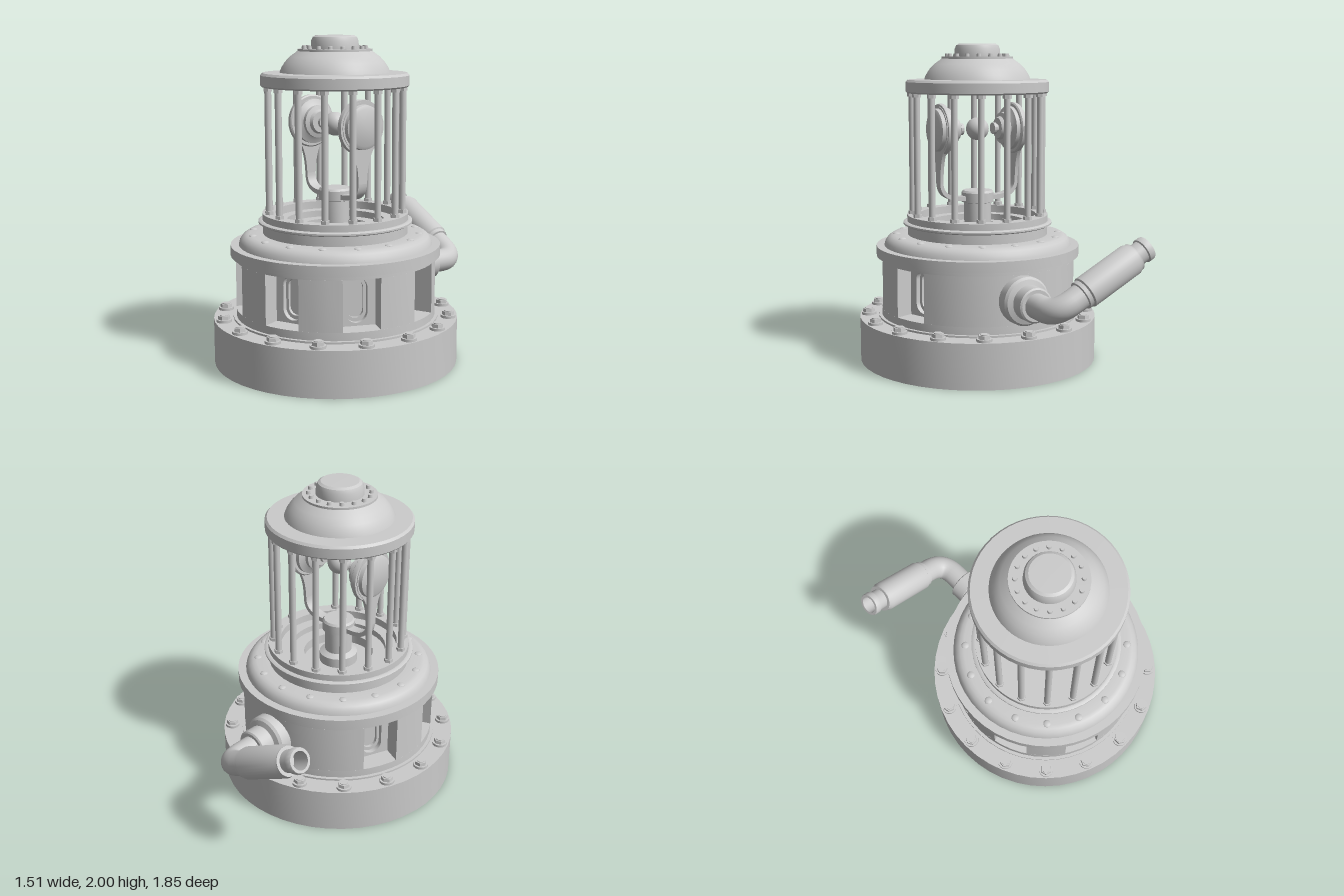
import * as THREE from 'three';
import { toCreasedNormals } from 'three/addons/utils/BufferGeometryUtils.js';

const mat = new THREE.MeshStandardMaterial({ color: 0xcccccc });
const matDouble = new THREE.MeshStandardMaterial({ color: 0xcccccc, side: THREE.DoubleSide });
const CREASE = 0.5;

function add(parent, name, geo, x = 0, y = 0, z = 0, material = mat) {
  const m = new THREE.Mesh(geo, material);
  m.name = name;
  m.position.set(x, y, z);
  parent.add(m);
  return m;
}

// Turned part from [radius, height] pairs, listed bottom to top on the outside
function turned(points, segments = 48) {
  const profile = points.map(([r, y]) => new THREE.Vector2(r, y));
  return toCreasedNormals(new THREE.LatheGeometry(profile, segments), CREASE);
}

function group(parent, name) {
  const g = new THREE.Group();
  g.name = name;
  parent.add(g);
  return g;
}

// Calls place(x, z, angle) at equal steps round a circle, angle 0 at the front
function around(count, radius, place) {
  for (let i = 0; i < count; i++) {
    const a = (i / count) * Math.PI * 2;
    place(Math.sin(a) * radius, Math.cos(a) * radius, a);
  }
}

// Upright slot outline with round ends
function slot(width, height, Type) {
  const r = width / 2, s = height / 2 - r, p = new Type();
  p.absarc(0, s, r, 0, Math.PI, false);
  p.absarc(0, -s, r, Math.PI, Math.PI * 2, false);
  p.closePath();
  return p;
}

function slottedPlate(width, height, slotW, slotH, depth) {
  const s = new THREE.Shape();
  s.moveTo(-width / 2, -height / 2);
  s.lineTo(width / 2, -height / 2);
  s.lineTo(width / 2, height / 2);
  s.lineTo(-width / 2, height / 2);
  s.closePath();
  s.holes.push(slot(slotW, slotH, THREE.Path));
  const g = new THREE.ExtrudeGeometry(s, { depth, bevelEnabled: false, curveSegments: 10 });
  return toCreasedNormals(g, CREASE);
}

const WINDOWS = [-112.5, -67.5, -22.5, 22.5, 67.5, 112.5].map(d => d * Math.PI / 180);
const HALF = 0.113; // half width of a window recess

// Drum wall with six rectangular recesses cut into its outline
function drumWall() {
  const R = 0.615, inner = 0.44, edge = Math.asin(HALF / R), pts = [];
  const at = (a, r, t) => pts.push(new THREE.Vector2(
    Math.sin(a) * r + Math.cos(a) * t, -(Math.cos(a) * r - Math.sin(a) * t)));
  const arc = (a0, a1) => {
    const n = Math.max(2, Math.round((a1 - a0) / 0.13));
    for (let i = 0; i <= n; i++) at(a0 + (a1 - a0) * i / n, R, 0);
  };
  WINDOWS.forEach((a, i) => {
    at(a, inner, -HALF);
    at(a, inner, HALF);
    const next = i < 5 ? WINDOWS[i + 1] : WINDOWS[0] + Math.PI * 2;
    arc(a + edge, next - edge);
  });
  const g = new THREE.ExtrudeGeometry(new THREE.Shape(pts), { depth: 0.305, bevelEnabled: false });
  g.rotateX(-Math.PI / 2);
  return toCreasedNormals(g, CREASE);
}

function buildBody(body) {
  add(body, 'base', turned([[0, 0], [0.755, 0], [0.755, 0.28], [0, 0.28]]));
  add(body, 'drumFoot', turned([[0.635, 0.28], [0.635, 0.292], [0.615, 0.292], [0.615, 0.34], [0, 0.34]]));
  add(body, 'drumWall', drumWall(), 0, 0.34);
  add(body, 'drumTop', turned([[0, 0.645], [0.615, 0.645], [0.615, 0.67]]));
  // Flange, rounded shoulder, neck and open well
  add(body, 'shoulder', turned([
    [0.6, 0.67], [0.645, 0.67], [0.645, 0.735], [0.595, 0.735], [0.588, 0.76], [0.572, 0.783], [0.55, 0.797], [0.525, 0.802],
    [0.445, 0.802], [0.445, 0.86], [0.46, 0.863], [0.473, 0.87], [0.473, 0.88], [0.46, 0.887], [0.448, 0.887],
    [0.448, 0.928], [0.37, 0.928], [0.37, 0.88], [0.3, 0.88], [0.3, 0.84], [0.22, 0.84], [0.22, 0.78], [0, 0.78]]));

  WINDOWS.forEach(a => {
    const w = group(body, 'window');
    w.rotation.y = a;
    add(w, 'windowPanel', slottedPlate(HALF * 2, 0.305, 0.13, 0.27, 0.03), 0, 0.4925, 0.46);
    add(w, 'windowInnerFrame', slottedPlate(HALF * 2, 0.305, 0.095, 0.225, 0.022), 0, 0.4925, 0.438);
  });

  const nuts = group(body, 'baseBolts');
  around(16, 0.7, (x, z, a) => {
    add(nuts, 'washer', new THREE.CylinderGeometry(0.047, 0.047, 0.016, 12), x, 0.288, z);
    const nut = add(nuts, 'nut', toCreasedNormals(new THREE.CylinderGeometry(0.036, 0.038, 0.024, 6), CREASE), x, 0.306, z);
    nut.rotation.y = a;
    add(nuts, 'stud', new THREE.CylinderGeometry(0.025, 0.025, 0.012, 12), x, 0.317, z);
  });
  const rivets = group(body, 'shoulderRivets');
  around(16, 0.515, (x, z) => {
    const r = add(rivets, 'rivet', new THREE.SphereGeometry(0.026, 10, 6), x, 0.798, z);
    r.scale.y = 0.45;
  });
}

function buildCage(body) {
  const bars = group(body, 'cageBars');
  around(16, 0.412, (x, z) => {
    add(bars, 'bar', new THREE.CylinderGeometry(0.02, 0.02, 0.78, 12), x, 1.31, z);
    for (const y of [0.938, 1.682])
      add(bars, 'barNut', toCreasedNormals(new THREE.CylinderGeometry(0.028, 0.028, 0.022, 6), CREASE), x, y, z);
  });
  // Hollow roof, from the inside of the dome round to its top
  add(body, 'roof', turned([
    [0, 1.87], [0.19, 1.87], [0.24, 1.84], [0.28, 1.78], [0.31, 1.74], [0.37, 1.74], [0.37, 1.693],
    [0.44, 1.693], [0.449, 1.702], [0.449, 1.762], [0.436, 1.776], [0.333, 1.778], [0.322, 1.806], [0.3, 1.84],
    [0.27, 1.872], [0.235, 1.897], [0.225, 1.905], [0.225, 1.918], [0.145, 1.918], [0.142, 1.965],
    [0.132, 1.988], [0.115, 1.998], [0, 2]]));
  const rivets = group(body, 'roofRivets');
  around(16, 0.187, (x, z) =>
    add(rivets, 'rivet', new THREE.CylinderGeometry(0.013, 0.015, 0.02, 10), x, 1.927, z));
}

// Two facing emitters on a forked yoke, with a ball between them
function buildCore(body) {
  const core = group(body, 'core');
  add(core, 'pedestal', turned([
    [0.12, 0.78], [0.12, 0.84], [0.085, 0.86], [0.085, 1.0], [0.102, 1.005], [0.102, 1.065], [0.092, 1.078], [0, 1.08]], 32));
  add(core, 'ball', new THREE.SphereGeometry(0.072, 28, 18), 0, 1.467, 0);

  const plate = new THREE.Shape();
  plate.moveTo(-0.032, 1.13);
  plate.lineTo(0.032, 1.13);
  plate.bezierCurveTo(0.035, 1.22, 0.05, 1.3, 0.1, 1.36);
  plate.absarc(0, 1.467, 0.146, -0.82, Math.PI + 0.82, false);
  plate.bezierCurveTo(-0.05, 1.3, -0.035, 1.22, -0.032, 1.13);

  const bend = new THREE.Shape();
  bend.moveTo(0.09, 1.015);
  bend.bezierCurveTo(0.2, 1.015, 0.272, 1.04, 0.272, 1.14);
  bend.lineTo(0.25, 1.14);
  bend.bezierCurveTo(0.25, 1.06, 0.19, 1.045, 0.09, 1.045);
  bend.closePath();

  for (const side of [-1, 1]) {
    const half = group(core, side > 0 ? 'leftEmitter' : 'rightEmitter');
    half.rotation.y = side > 0 ? 0 : Math.PI;
    const arm = toCreasedNormals(new THREE.ExtrudeGeometry(plate, { depth: 0.022, bevelEnabled: false, curveSegments: 20 }), CREASE);
    add(half, 'armPlate', arm, 0.25).rotation.y = Math.PI / 2;
    const foot = toCreasedNormals(new THREE.ExtrudeGeometry(bend, { depth: 0.064, bevelEnabled: false, curveSegments: 12 }), CREASE);
    add(half, 'armFoot', foot, 0, 0, -0.032);
    // Stepped emitter turned about the x axis, its tip pointing inward
    const emitter = turned([
      [0, -0.305], [0.11, -0.305], [0.13, -0.295], [0.135, -0.268], [0.16, -0.268], [0.163, -0.258], [0.163, -0.242], [0.155, -0.235],
      [0.138, -0.235], [0.138, -0.21], [0.115, -0.2], [0.1, -0.19], [0.1, -0.168], [0.075, -0.16],
      [0.065, -0.14], [0.025, -0.14], [0.025, -0.128], [0.037, -0.125], [0.037, -0.106], [0, -0.104]], 36);
    add(half, 'emitter', emitter, 0, 1.467, 0).rotation.z = Math.PI / 2;
  }
}

// Bent pipe leaving the back of the drum
function buildPipe(root) {
  const pipe = group(root, 'pipe');
  add(pipe, 'pipeFlange', turned([
    [0.148, 0.36], [0.148, 0.5], [0.135, 0.515], [0.102, 0.525], [0.105, 0.53], [0.105, 0.615], [0.095, 0.622], [0, 0.622]], 32),
    0, 0.492, 0).rotation.x = -Math.PI / 2;

  const dir = new THREE.Vector3(-0.87, 0.475, 0).normalize();
  const corner = new THREE.Vector3(0, 0.485, -0.83);
  const along = t => corner.clone().addScaledVector(dir, t);
  const path = new THREE.CurvePath();
  const a = new THREE.Vector3(0, 0.492, -0.6), b = new THREE.Vector3(0, 0.49, -0.71);
  path.add(new THREE.LineCurve3(a, b));
  path.add(new THREE.QuadraticBezierCurve3(b, corner, along(0.13)));
  path.add(new THREE.LineCurve3(along(0.13), along(0.28)));
  add(pipe, 'elbow', new THREE.TubeGeometry(path, 24, 0.075, 24), 0, 0, 0, matDouble);

  const grip = turned([
    [0.07, 0.19], [0.087, 0.195], [0.087, 0.22], [0.096, 0.228], [0.096, 0.57], [0.087, 0.59], [0.087, 0.6], [0.066, 0.6],
    [0.066, 0.655], [0.075, 0.66], [0.075, 0.692], [0.071, 0.7], [0.054, 0.7], [0.054, 0.58], [0, 0.58]], 32);
  const m = add(pipe, 'nozzle', grip, corner.x, corner.y, corner.z);
  m.quaternion.setFromUnitVectors(new THREE.Vector3(0, 1, 0), dir);
}

export function createModel() {
  const root = new THREE.Group();
  root.name = 'cagedReactor';
  const body = group(root, 'body');
  body.position.z = 0.167;
  buildBody(body);
  buildCage(body);
  buildCore(body);
  buildPipe(root);
  return root;
}
